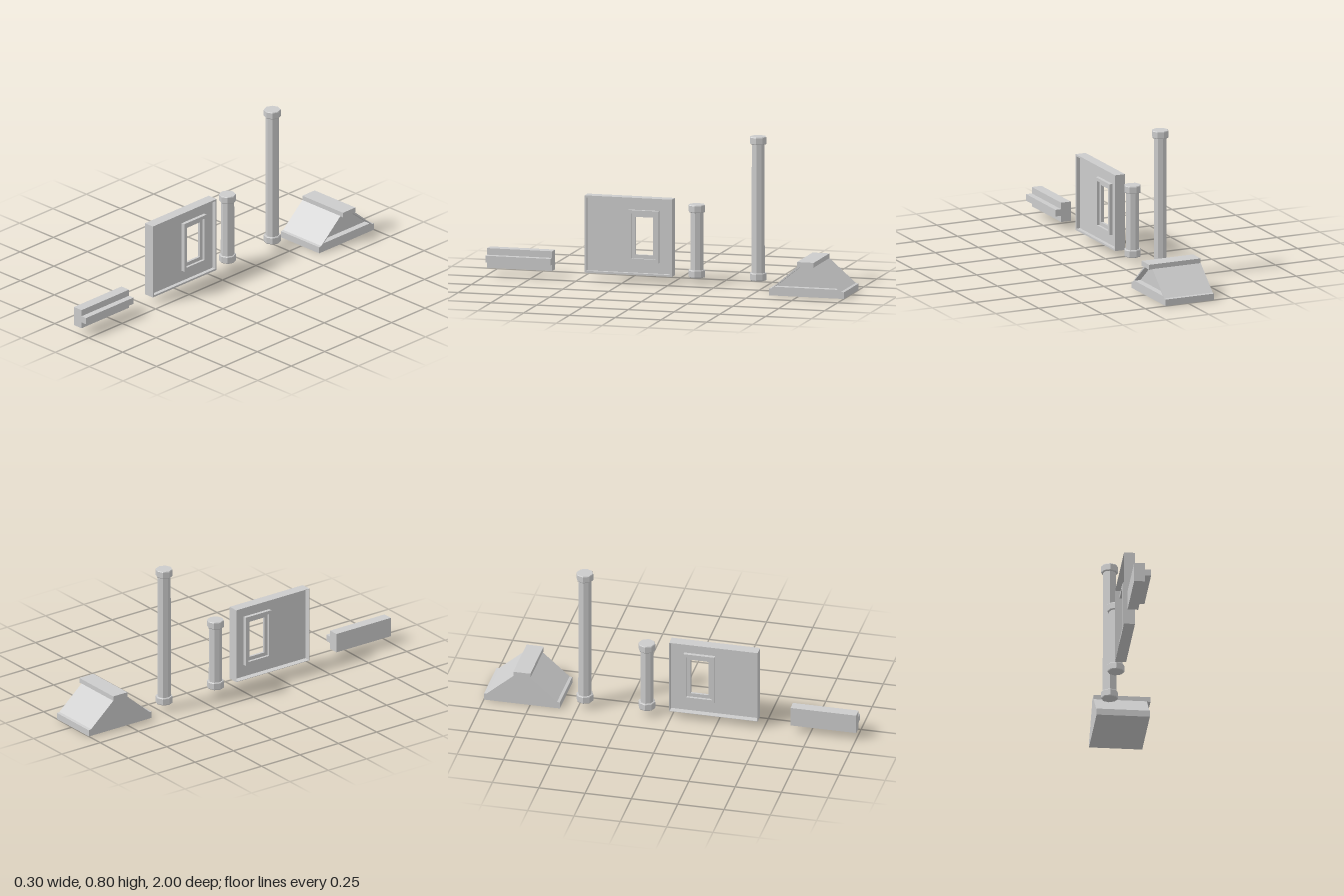
import * as THREE from 'three';

const material = new THREE.MeshStandardMaterial({ color: 0xcccccc, flatShading: true });

function addMesh(parent, name, geometry) {
  const mesh = new THREE.Mesh(geometry, material);
  mesh.name = name;
  parent.add(mesh);
  return mesh;
}

function addGroup(parent, name) {
  const group = new THREE.Group();
  group.name = name;
  parent.add(group);
  return group;
}

const toPoints = (list) => list.map(([a, b]) => new THREE.Vector2(a, b));

// Extrudes an outline of [z, y] points along x, from x0 to x1;
// the hole is wound against the outline so its walls face inwards
function prismX(outline, hole, x0, x1) {
  const flip = (list) => toPoints(list.map(([z, y]) => [-z, y]));
  const shape = new THREE.Shape(flip(outline));
  if (hole) shape.holes.push(new THREE.Path(flip(hole).reverse()));
  const geometry = new THREE.ExtrudeGeometry(shape, { depth: x1 - x0, bevelEnabled: false });
  return geometry.rotateY(Math.PI / 2).translate(x0, 0, 0);
}

const rect = (z0, z1, y0, y1) => [[z0, y0], [z1, y0], [z1, y1], [z0, y1]];

// Mirrors a half profile of [offset, y] points about the roof's centre line
function roofProfile(half, centre) {
  const other = half.map(([d, y]) => [centre - d, y]).reverse();
  return half.map(([d, y]) => [centre + d, y]).concat(other);
}

// Ribbed beam with a T-shaped section
function buildBeam(root) {
  const section = toPoints([
    [-0.109, 0.038], [-0.053, 0.038], [-0.053, 0.072], [-0.02, 0.072],
    [-0.02, 0.108], [-0.053, 0.108], [-0.053, 0.143], [-0.109, 0.143],
  ]);
  const geometry = new THREE.ExtrudeGeometry(new THREE.Shape(section), { depth: 0.355, bevelEnabled: false });
  addMesh(root, 'ribbedBeam', geometry.translate(0, 0, 0.645));
}

// Wall panel: shallow tray on both sides, with a trimmed window opening
function buildWall(root) {
  const wall = addGroup(root, 'windowWall');
  const inset = (d) => rect(-0.009 + d, 0.468 - d, 0.038 + d, 0.45 - d);
  const trimOuter = rect(0.064, 0.231, 0.107, 0.383);
  const trimInner = rect(0.08, 0.215, 0.125, 0.365);
  const opening = rect(0.1, 0.195, 0.145, 0.346);
  addMesh(wall, 'frontRim', prismX(inset(0), inset(0.01), -0.075, -0.052));
  addMesh(wall, 'backRim', prismX(inset(0), inset(0.002), -0.11, -0.074));
  addMesh(wall, 'wallPlate', prismX(inset(0.001), opening, -0.076, -0.073));
  addMesh(wall, 'windowTrim', prismX(trimOuter, trimInner, -0.095, -0.054));
  addMesh(wall, 'windowSash', prismX(trimInner, opening, -0.081, -0.068));
}

// Eight-sided column with a slightly bevelled collar at each end
function buildColumn(root, name, z, top) {
  const column = addGroup(root, name);
  column.position.set(-0.094, 0, z);
  const bottom = 0.037;
  const height = 0.04;
  const shaft = new THREE.CylinderGeometry(0.035, 0.036, top - bottom - height, 8);
  addMesh(column, 'shaft', shaft).position.y = (top + bottom) / 2;
  const collar = toPoints([[0, 0], [0.043, 0], [0.0455, 0.004], [0.0455, 0.036], [0.043, height], [0, height]]);
  for (const [part, y] of [['baseCollar', bottom], ['topCollar', top - height]]) {
    addMesh(column, part, new THREE.LatheGeometry(collar, 8)).position.y = y;
  }
}

// Roof section: solid gable at one end, recessed gable at the other
function buildRoof(root) {
  const roof = addGroup(root, 'roofSection');
  const centre = -0.795;
  const outer = roofProfile([[0.205, 0], [0.205, 0.035], [0.19, 0.038], [0.046, 0.163]], centre);
  const recess = roofProfile([[0.172, 0.047], [0.033, 0.16]], centre);
  addMesh(roof, 'roofBody', prismX(outer, null, -0.15, 0.096));
  addMesh(roof, 'gableRim', prismX(outer, recess, 0.096, 0.131));
  const ridge = new THREE.BoxGeometry(0.3, 0.027, 0.092);
  addMesh(roof, 'ridgeBeam', ridge).position.set(0, 0.1745, centre);
}

export function createModel() {
  const root = new THREE.Group();
  root.name = 'buildingParts';
  buildBeam(root);
  buildWall(root);
  buildColumn(root, 'shortColumn', -0.133, 0.424);
  buildColumn(root, 'tallColumn', -0.468, 0.803);
  buildRoof(root);
  return root;
}
